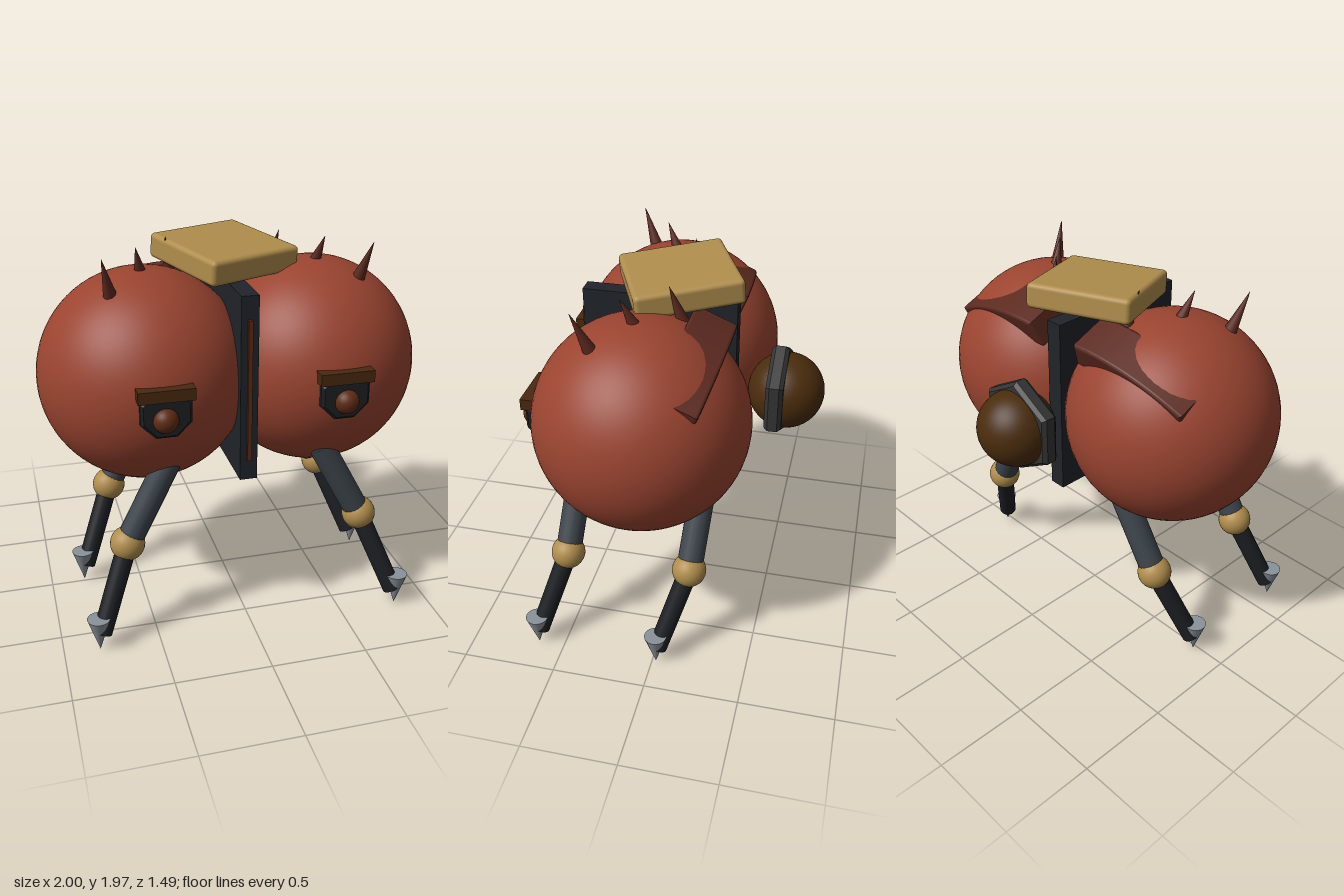
import * as THREE from 'three';
import { RoundedBoxGeometry } from 'three/addons/geometries/RoundedBoxGeometry.js';

const mat = (color, flatShading = false) => new THREE.MeshStandardMaterial({ color, flatShading });
const RED = mat(0x9a4430), HORN = mat(0x5c2a20), GOLD = mat(0xb08d4c), STEEL = mat(0x3d454c);
const BLACK = mat(0x1c1f23), SLAB = mat(0x20242a), CLAW = mat(0x8a939b), BROWN = mat(0x4a2810);
const PUPIL = mat(0x5f2c14), AMBER = mat(0x4a2c0c), IRON = mat(0x343434, true);
const UP = new THREE.Vector3(0, 1, 0);

function add(parent, name, geometry, material, x = 0, y = 0, z = 0) {
  const mesh = new THREE.Mesh(geometry, material);
  mesh.name = name;
  mesh.position.set(x, y, z);
  parent.add(mesh);
  return mesh;
}

// Tapered rod running from point a to point b
function rod(parent, name, a, b, rA, rB, material, sides = 20) {
  const A = new THREE.Vector3(...a), B = new THREE.Vector3(...b);
  const dir = B.clone().sub(A);
  const mesh = add(parent, name, new THREE.CylinderGeometry(rB, rA, dir.length(), sides), material);
  mesh.position.copy(A).add(B).multiplyScalar(0.5);
  mesh.quaternion.setFromUnitVectors(UP, dir.normalize());
  return mesh;
}

// Gently arched, soft-edged plate that lies on the back of a body sphere
function archedPlateGeometry() {
  const w = 0.32, drop = 0.05, t = 0.12, depth = 0.2, bevel = 0.015;
  const s = new THREE.Shape();
  s.moveTo(-w, -drop);
  s.quadraticCurveTo(0, drop, w, -drop);
  s.lineTo(w, -drop - t);
  s.quadraticCurveTo(0, drop - t, -w, -drop - t);
  s.closePath();
  const g = new THREE.ExtrudeGeometry(s, {
    depth, curveSegments: 16, bevelEnabled: true, bevelSize: bevel, bevelThickness: bevel, bevelSegments: 3,
  });
  return g.translate(0, -bevel, -depth / 2);
}

// Thick disc facing z with chamfered rims and the given number of sides
function chamferedDisc(radius, depth, chamfer, sides) {
  const h = depth / 2;
  const profile = [[0, -h], [radius - chamfer, -h], [radius, -h + chamfer], [radius, h - chamfer], [radius - chamfer, h], [0, h]];
  const g = new THREE.LatheGeometry(profile.map(p => new THREE.Vector2(...p)), sides);
  return g.rotateX(Math.PI / 2);
}

function buildLeg(parent, name, dz) {
  const leg = new THREE.Group();
  leg.name = name;
  leg.position.z = dz;
  parent.add(leg);
  const hip = [0.405, 0.94, 0.47], knee = [0.63, 0.52, 0.5], ankle = [0.8, 0.09, 0.635];
  add(leg, 'hip', new THREE.SphereGeometry(0.068, 20, 14), STEEL, ...hip);
  rod(leg, 'upperLeg', hip, knee, 0.068, 0.068, STEEL);
  add(leg, 'knee', new THREE.SphereGeometry(0.09, 24, 16), GOLD, ...knee);
  rod(leg, 'lowerLeg', knee, ankle, 0.052, 0.05, BLACK);
  const claw = add(leg, 'claw', new THREE.ConeGeometry(0.06, 0.185, 20), CLAW, 0.815, 0.0925, 0.642);
  claw.rotation.x = Math.PI;
}

function buildHalf(side) {
  const half = new THREE.Group();
  half.name = side + 'Half';
  add(half, 'bodySphere', new THREE.SphereGeometry(0.55, 64, 40), RED, 0.45, 1.3, 0.12);

  // Eye: octagonal socket, pupil and heavy brow
  const socket = add(half, 'eyeSocket', chamferedDisc(0.135, 0.11, 0.015, 8), mat(0x1c1f23, true), 0.445, 1.297, 0.635);
  socket.rotation.z = Math.PI / 8;
  add(half, 'pupil', new THREE.SphereGeometry(0.063, 24, 16), PUPIL, 0.45, 1.265, 0.682);
  add(half, 'brow', new THREE.BoxGeometry(0.275, 0.06, 0.09), BROWN, 0.445, 1.392, 0.66);

  // Spikes on the crown
  const spikes = [
    [[0.627, 1.75, 0.3], [0.675, 1.97, 0.38]],
    [[0.45, 1.8, 0.13], [0.485, 1.97, 0.2]],
    [[0.27, 1.75, -0.06], [0.3, 1.97, 0.01]],
  ];
  for (const [base, tip] of spikes) rod(half, 'spike', base, tip, 0.038, 0.001, HORN, 16);

  // Back plate, sloping outward and backward
  const plate = add(half, 'backPlate', archedPlateGeometry(), HORN, 0.5, 1.75, -0.185);
  plate.rotation.set(-0.4, 0, -0.24);

  buildLeg(half, 'frontLeg', 0);
  buildLeg(half, 'backLeg', -0.662);
  return half;
}

// Reflects a half across x = 0, flipping face order so it stays outward
function mirrored(half) {
  const out = new THREE.Group();
  out.name = 'rightHalf';
  half.updateMatrixWorld(true);
  const flip = new THREE.Matrix4().makeScale(-1, 1, 1);
  half.traverse(o => {
    if (!o.isMesh) return;
    const g = o.geometry.index ? o.geometry.toNonIndexed() : o.geometry.clone();
    g.applyMatrix4(flip.clone().multiply(o.matrixWorld));
    for (const attr of Object.values(g.attributes)) {
      const n = attr.itemSize, a = attr.array;
      for (let i = 0; i < a.length; i += 3 * n)
        for (let k = 0; k < n; k++) [a[i + n + k], a[i + 2 * n + k]] = [a[i + 2 * n + k], a[i + n + k]];
    }
    add(out, o.name, g, o.material);
  });
  return out;
}

export function createModel() {
  const model = new THREE.Group();
  model.name = 'twinSphereWalker';
  const left = buildHalf('left');
  model.add(left, mirrored(left));

  // Divider between the spheres
  add(model, 'dividerSlab', new THREE.BoxGeometry(0.09, 0.97, 0.81), SLAB, 0, 1.305, 0.125);
  add(model, 'dividerStrip', new THREE.BoxGeometry(0.022, 0.74, 0.05), PUPIL, 0, 1.3, 0.522);

  // Askew box on top
  const box = add(model, 'topBox', new RoundedBoxGeometry(0.55, 0.13, 0.55, 4, 0.025), GOLD, 0, 1.88, 0.025);
  box.rotation.set(0.09, 0.41, 0, 'YXZ');

  // Rear globe in a hexagonal collar
  add(model, 'rearGlobe', new THREE.SphereGeometry(0.2, 40, 28), AMBER, 0, 1.3, -0.543);
  add(model, 'rearCollar', chamferedDisc(0.255, 0.09, 0.02, 6), IRON, 0, 1.3, -0.503);
  return model;
}
